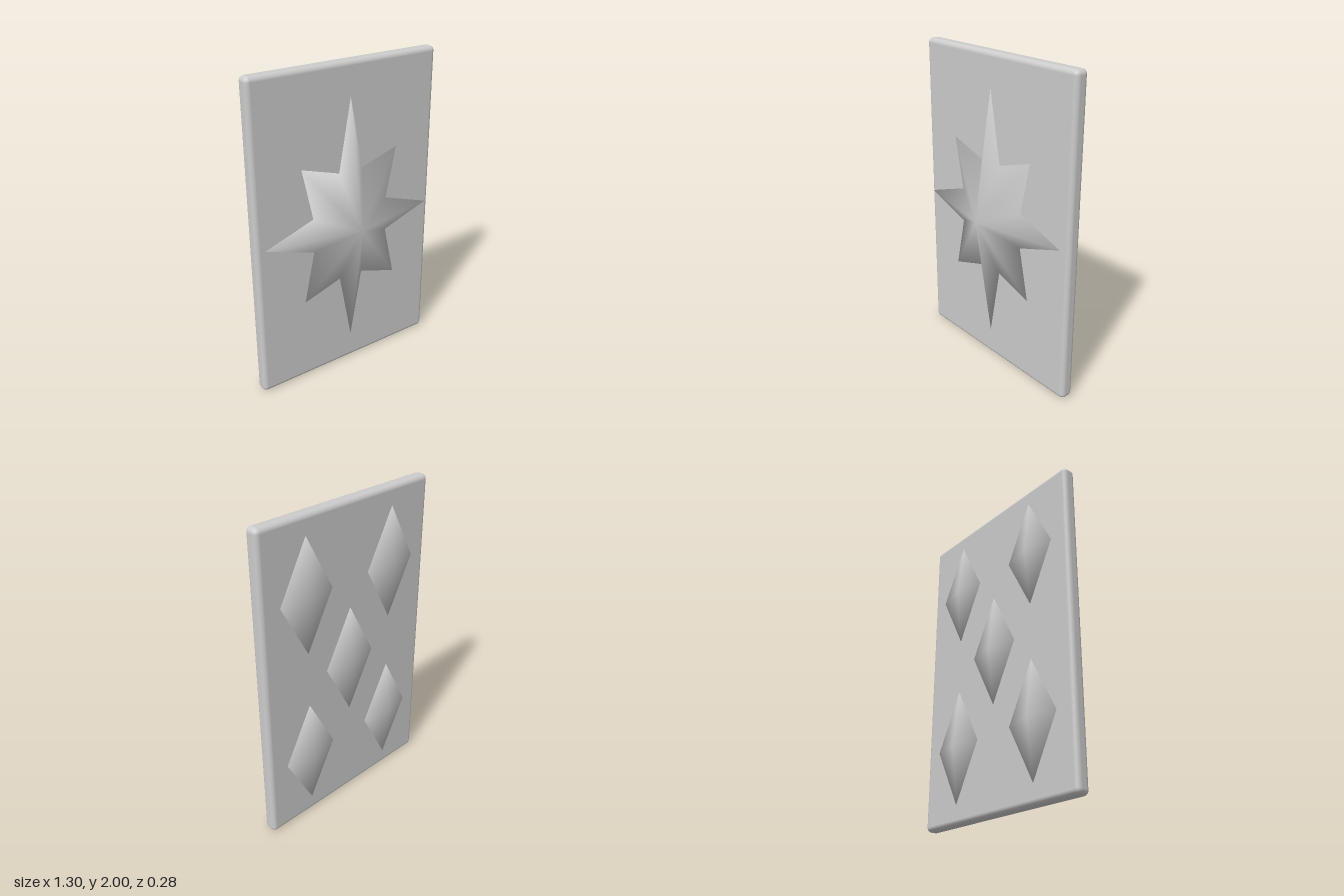
import * as THREE from 'three';
import { RoundedBoxGeometry } from 'three/addons/geometries/RoundedBoxGeometry.js';

// Closed low pyramid over a counter-clockwise outline, with shared smooth normals
function facetedBoss(outline, height) {
  const n = outline.length;
  const positions = [];
  for (const [x, y] of outline) positions.push(x, y, 0);
  positions.push(0, 0, height, 0, 0, 0); // apex and base centre
  const index = [];
  for (let i = 0; i < n; i++) {
    const j = (i + 1) % n;
    index.push(i, j, n, j, i, n + 1);
  }
  const geometry = new THREE.BufferGeometry();
  geometry.setAttribute('position', new THREE.Float32BufferAttribute(positions, 3));
  geometry.setIndex(index);
  geometry.computeVertexNormals();
  return geometry;
}

export function createModel() {
  const model = new THREE.Group();
  const material = new THREE.MeshStandardMaterial({ color: 0xcccccc });
  const add = (name, geometry, x, y, z) => {
    const mesh = new THREE.Mesh(geometry, material);
    mesh.name = name;
    mesh.position.set(x, y, z);
    model.add(mesh);
    return mesh;
  };

  // Card-like slab with softened edges
  add('slab', new RoundedBoxGeometry(1.296, 2, 0.087, 4, 0.03), 0, 1, -0.0465);

  // Eight-pointed star on the front: one quadrant, mirrored around
  const quadrant = [[0.6, 0], [0.27, 0.11], [0.342, 0.436], [0.083, 0.355], [0, 0.8]];
  const mirrorX = ([x, y]) => [-x, y];
  const upper = [...quadrant, ...quadrant.slice(0, -1).reverse().map(mirrorX)];
  const lower = upper.slice(1, -1).reverse().map(([x, y]) => [x, -y]);
  add('star', facetedBoss([...upper, ...lower], 0.12), 0, 1, 0.02);

  // Five diamonds on the back
  const diamond = facetedBoss([[0.19, 0], [0, 0.355], [-0.19, 0], [0, -0.355]], 0.043);
  const places = [[0, 1], [-0.332, 1.532], [0.332, 1.532], [-0.332, 0.468], [0.332, 0.468]];
  places.forEach(([x, y], i) => {
    add(`diamond${i + 1}`, diamond, x, y, -0.098).rotation.y = Math.PI;
  });

  return model;
}
